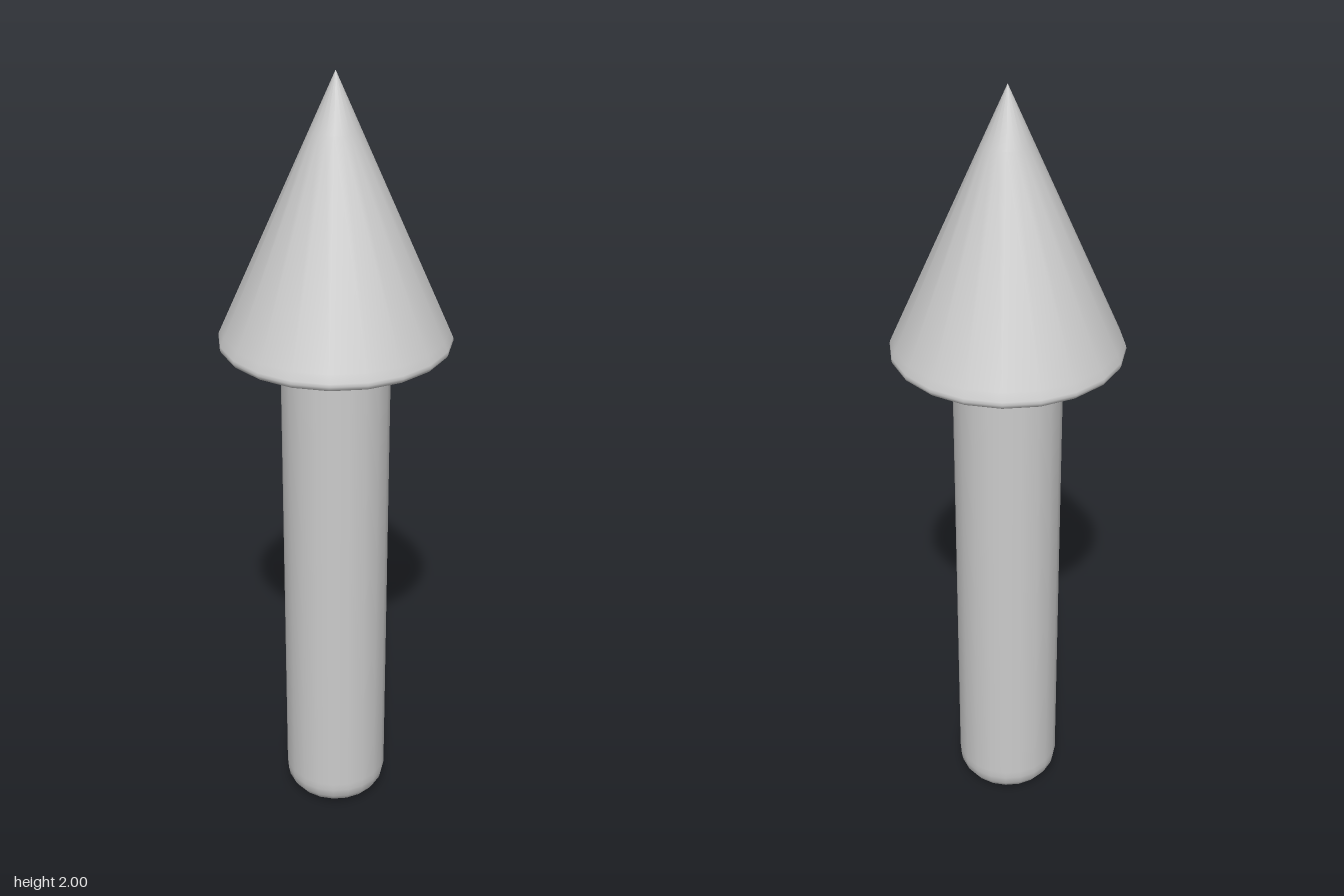
import * as THREE from 'three';

const SIDES = 20;
const material = new THREE.MeshStandardMaterial({ color: 0xcccccc });

// Points of a quarter-round corner between two angles (in degrees)
function corner(cx, cy, radius, from, to, steps = 4) {
  return Array.from({ length: steps + 1 }, (_, i) => {
    const a = THREE.MathUtils.degToRad(from + ((to - from) * i) / steps);
    return [cx + radius * Math.cos(a), cy + radius * Math.sin(a)];
  });
}

// Smooth turned part from a bottom-to-top profile
function turned(name, profile) {
  const points = profile.map(([r, y]) => new THREE.Vector2(r, y));
  const mesh = new THREE.Mesh(new THREE.LatheGeometry(points, SIDES), material);
  mesh.name = name;
  return mesh;
}

export function createModel() {
  const group = new THREE.Group();
  group.name = 'arrowPeg';

  // Round shaft with a softened foot and a small flare under the head
  group.add(turned('shaft', [
    [0, 0],
    [0.07, 0],
    ...corner(0.075, 0.06, 0.06, -90, 0),
    [0.135, 0.08],
    [0.135, 1.31],
    ...corner(0.157, 1.318, 0.022, 180, 90, 3),
  ]));

  // Pointed head: flat underside, thin rounded rim, straight cone
  const rim = corner(0.27, 1.355, 0.015, -90, 24);
  const [rimR, rimY] = rim[rim.length - 1];
  const onCone = (t) => [rimR * (1 - t), rimY + (2 - rimY) * t];
  group.add(turned('head', [
    [0.157, 1.34],
    [0.26, 1.34],
    ...rim,
    onCone(0.03),
    onCone(0.79),
    [0, 2],
  ]));

  return group;
}
